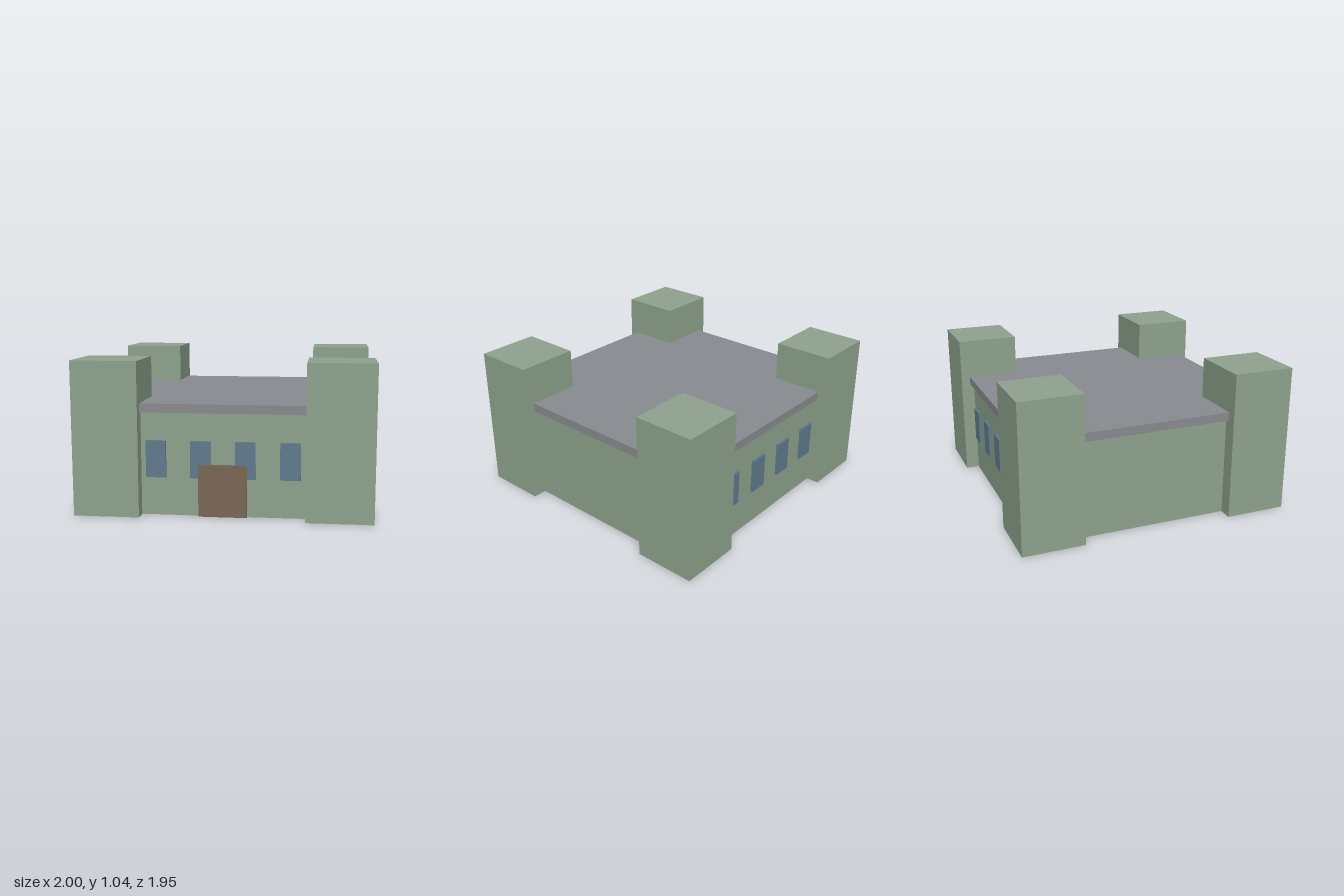
import * as THREE from 'three';

const mat = (name, color) => {
  const m = new THREE.MeshStandardMaterial({ color });
  m.name = name;
  return m;
};

export function createModel() {
  const model = new THREE.Group();
  model.name = 'fort';
  const stone = mat('sage green', 0x8fa38e);
  const slate = mat('slate grey', 0x888b8f);
  const wood = mat('door brown', 0x7a6757);
  const glass = mat('window blue', 0x617c8e);

  // Box given by its extents on each axis
  const box = (name, material, [x0, x1], [y0, y1], [z0, z1]) => {
    const mesh = new THREE.Mesh(new THREE.BoxGeometry(x1 - x0, y1 - y0, z1 - z0), material);
    mesh.position.set((x0 + x1) / 2, (y0 + y1) / 2, (z0 + z1) / 2);
    mesh.name = name;
    model.add(mesh);
  };

  // Main hall and its overhanging flat roof
  box('walls', stone, [-0.9, 0.9], [0, 0.7], [-0.88, 0.88]);
  box('roof', slate, [-0.935, 0.935], [0.7, 0.76], [-0.91, 0.91]);

  // Corner towers
  for (const sx of [-1, 1]) {
    for (const sz of [-1, 1]) {
      const xs = sx > 0 ? [0.553, 1] : [-1, -0.553];
      const zs = sz > 0 ? [0.537, 0.975] : [-0.975, -0.537];
      box('cornerTower', stone, xs, [0, 1.045], zs);
    }
  }

  // Four windows on the front and on the back
  for (const x of [-0.45, -0.15, 0.15, 0.45]) {
    box('frontWindow', glass, [x - 0.068, x + 0.068], [0.26, 0.51], [0.87, 0.896]);
    box('backWindow', glass, [x - 0.068, x + 0.068], [0.26, 0.51], [-0.896, -0.87]);
  }

  // Front door
  box('door', wood, [-0.163, 0.163], [0, 0.352], [0.87, 0.906]);

  return model;
}
